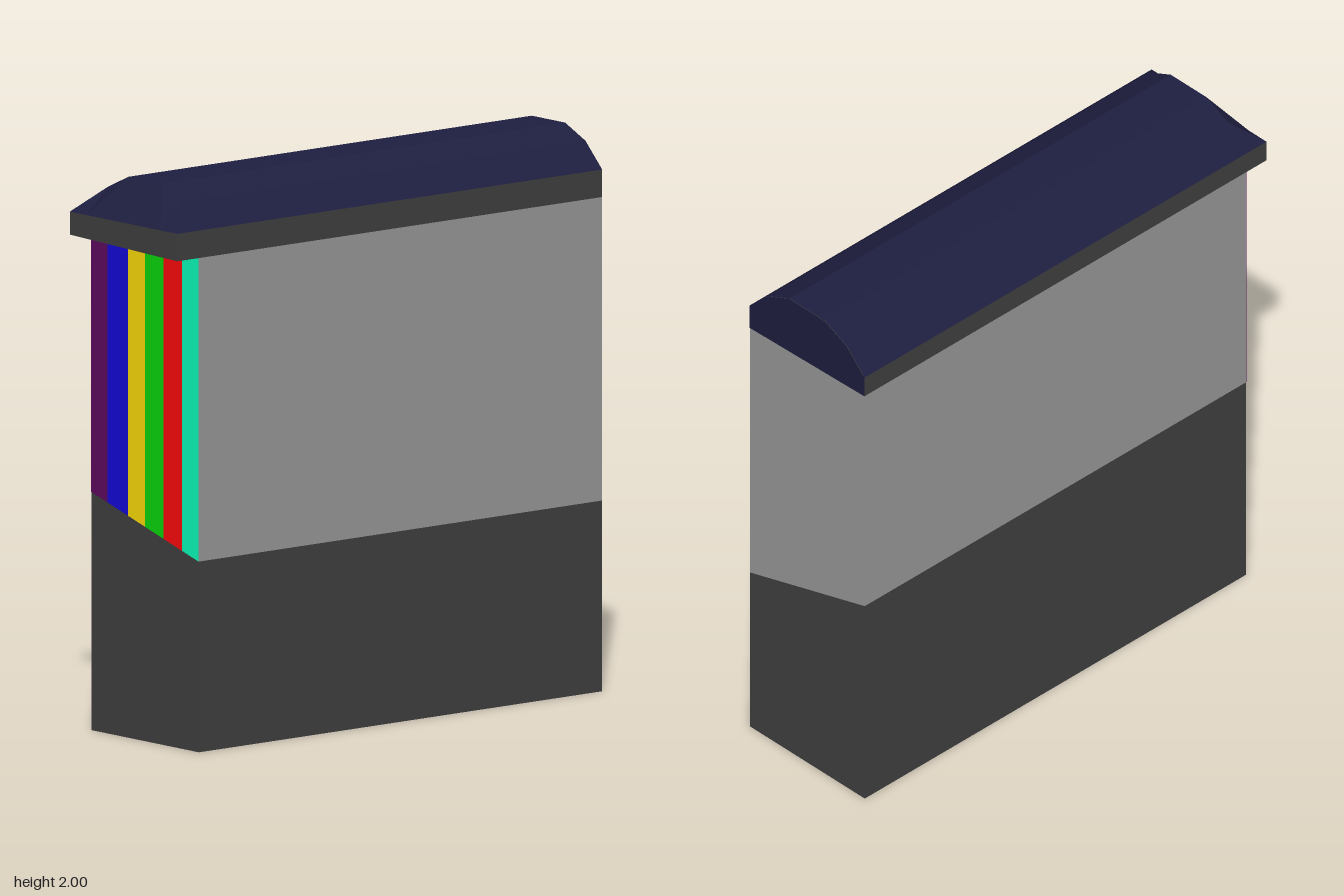
import * as THREE from 'three';

const W = 0.29, BACK = -0.98, FRONT = 0.88, LIP = 0.98, EAVE = 1.86;
const PROFILE = [[-W, EAVE], [-0.2, 1.95], [-0.09, 2], [0.09, 2], [0.2, 1.95], [W, EAVE]];

// Slightly sloping joints between the horizontal layers
const baseTop = (x) => 0.765 - (x / W) * 0.085;
const bodyTop = (x) => 1.77 - (x / W) * 0.008;

const paint = (color, side = THREE.FrontSide) =>
  new THREE.MeshStandardMaterial({ color, side, flatShading: true });

const outline = (points) => new THREE.Shape(points.map(([x, y]) => new THREE.Vector2(x, y)));

// Region between two height rules, from x0 to x1
const layer = (x0, x1, low, high) =>
  outline([[x0, low(x0)], [x1, low(x1)], [x1, high(x1)], [x0, high(x0)]]);

// Roof skin lofted through three sections; the last one drops to the front edge
function roofGeometry() {
  const n = PROFILE.length;
  const sections = [[BACK, 1], [FRONT, 1], [LIP, 0]];
  const positions = [], index = [];
  for (const [z, rise] of sections) {
    for (const [x, y] of PROFILE) positions.push(x, EAVE + (y - EAVE) * rise, z);
  }
  for (let s = 0; s < sections.length - 1; s++) {
    for (let i = 0; i < n - 1; i++) {
      const a = s * n + i, b = a + 1, c = a + n, d = c + 1;
      if (i < n / 2) index.push(a, c, b, b, c, d);
      else index.push(a, c, d, a, d, b);
    }
  }
  const geometry = new THREE.BufferGeometry();
  geometry.setAttribute('position', new THREE.Float32BufferAttribute(positions, 3));
  geometry.setIndex(index);
  const flat = geometry.toNonIndexed();
  flat.computeVertexNormals();
  return flat;
}

export function createModel() {
  const group = new THREE.Group();
  const dark = paint(0x404040), grey = paint(0x999999);
  const navy = paint(0x1e1e40, THREE.DoubleSide);

  const add = (name, geometry, material, z = 0) => {
    const mesh = new THREE.Mesh(geometry, material);
    mesh.name = name;
    mesh.position.z = z;
    group.add(mesh);
  };
  const slab = (name, low, high, front, material) =>
    add(name, new THREE.ExtrudeGeometry(layer(-W, W, low, high),
      { depth: front - BACK, bevelEnabled: false }), material, BACK);

  // Stacked layers, the eave band overhanging at the front
  slab('base', () => 0, baseTop, FRONT, dark);
  slab('body', baseTop, bodyTop, FRONT, grey);
  slab('eaveBand', bodyTop, () => EAVE, LIP, dark);

  // Coloured front stripes
  const edges = [-W, -0.2, -0.09, 0, 0.1, 0.2, W];
  const colors = [0x5e0a60, 0x1408d9, 0xffdd08, 0x08d90c, 0xff080c, 0x08ffbb];
  colors.forEach((color, i) => add(`frontStripe${i + 1}`,
    new THREE.ShapeGeometry(layer(edges[i], edges[i + 1], baseTop, bodyTop)),
    paint(color, THREE.DoubleSide), FRONT + 0.002));

  // Roof and its rear gable, which also covers the end of the eave band
  add('roof', roofGeometry(), navy);
  const gable = outline([...PROFILE, [W, bodyTop(W)], [-W, bodyTop(-W)]]);
  add('rearGable', new THREE.ShapeGeometry(gable), navy, BACK - 0.002);

  return group;
}
